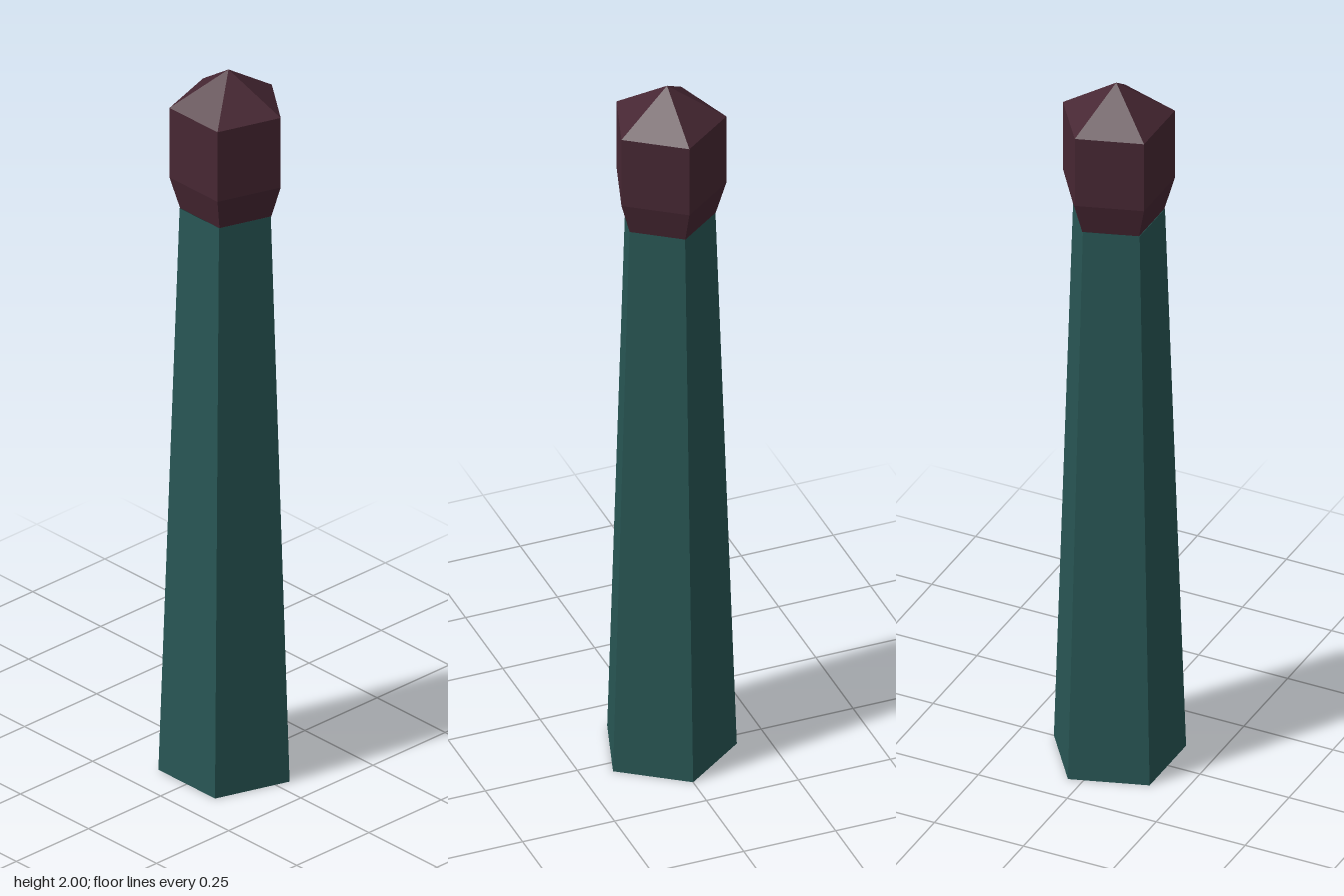
import * as THREE from 'three';

const SIDES = 5;

function material(name, color) {
  const m = new THREE.MeshStandardMaterial({ color, flatShading: true, side: THREE.DoubleSide });
  m.name = name;
  return m;
}

// Five-sided shell turned from [radius, height] pairs, bottom to top, with one corner at the back
function pentagonShell(name, profile, z, mat) {
  const points = profile.map(([r, y]) => new THREE.Vector2(r, y));
  const geometry = new THREE.LatheGeometry(points, SIDES, Math.PI).toNonIndexed();
  geometry.computeVertexNormals();
  const mesh = new THREE.Mesh(geometry, mat);
  mesh.name = name;
  mesh.position.z = z;
  return mesh;
}

export function createModel() {
  const model = new THREE.Group();
  model.name = 'taperedPost';

  // Tapered shaft, hollow and open underneath
  model.add(pentagonShell('shaft', [[0.177, 0], [0.123, 1.61]], 0.0165, material('dark teal', 0x285654)));

  // Flared head with a pointed cap
  model.add(pentagonShell('head', [[0.123, 1.61], [0.15, 1.7], [0.15, 1.9], [0, 2]], 0.0148,
    material('dark maroon', 0x472733)));

  return model;
}
